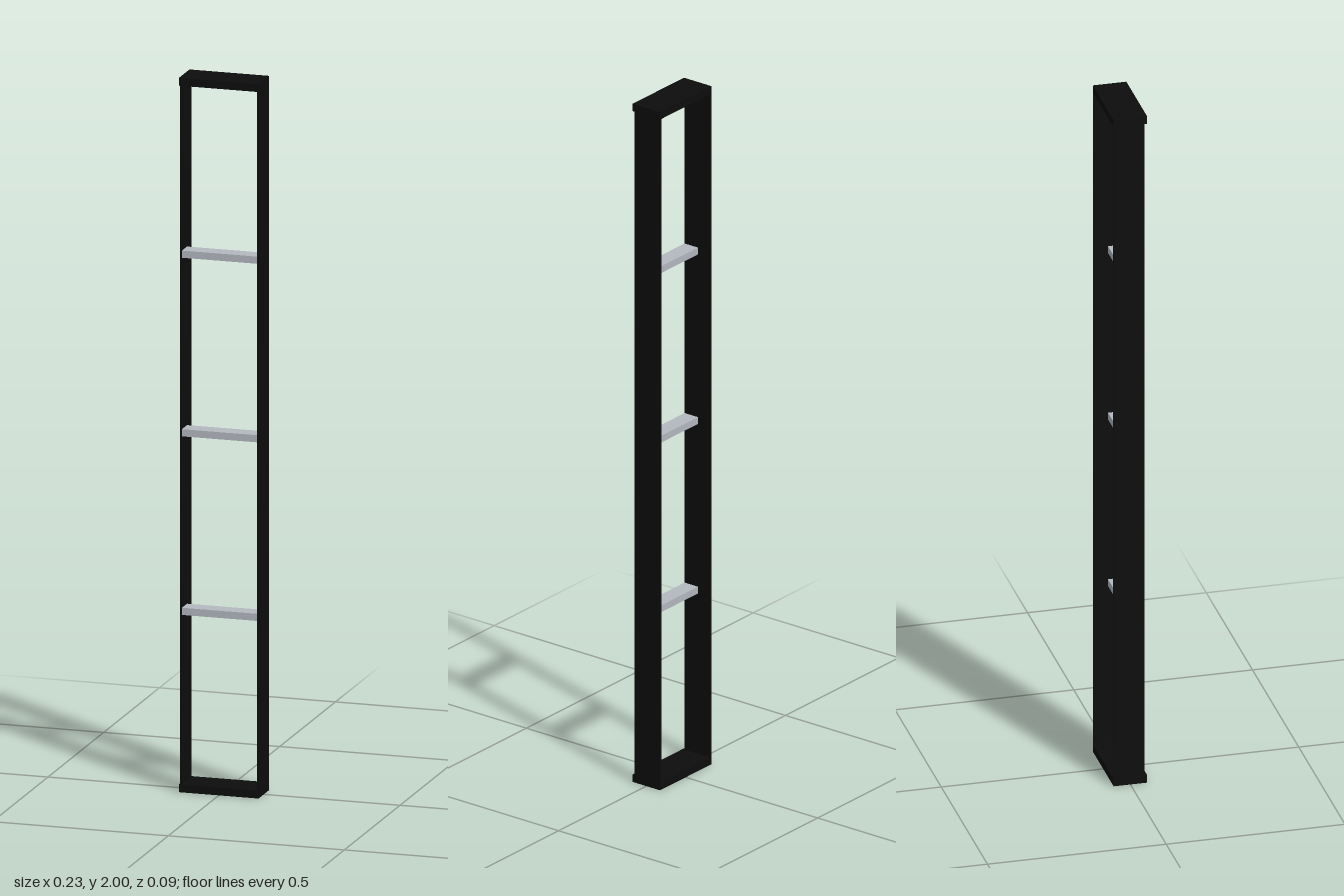
import * as THREE from 'three';

export function createModel() {
  const group = new THREE.Group();
  const black = new THREE.MeshStandardMaterial({ color: 0x0d0d0d });
  black.name = 'black';
  const silver = new THREE.MeshStandardMaterial({ color: 0xb4b8c0 });
  silver.name = 'silver';

  const halfWidth = 0.113, capHeight = 0.022, wall = 0.006;
  const back = -0.047, capFront = 0.047, panelFront = 0.04;

  // Box given by its extents along each axis
  function box(name, material, [x0, x1], [y0, y1], [z0, z1]) {
    const mesh = new THREE.Mesh(new THREE.BoxGeometry(x1 - x0, y1 - y0, z1 - z0), material);
    mesh.position.set((x0 + x1) / 2, (y0 + y1) / 2, (z0 + z1) / 2);
    mesh.name = name;
    group.add(mesh);
  }

  // Top and bottom caps, standing slightly proud at the front
  box('bottomCap', black, [-halfWidth, halfWidth], [0, capHeight], [back, capFront]);
  box('topCap', black, [-halfWidth, halfWidth], [2 - capHeight, 2], [back, capFront]);

  // Thin upright side panels
  const height = [capHeight, 2 - capHeight];
  box('leftPanel', black, [halfWidth - wall, halfWidth], height, [back, panelFront]);
  box('rightPanel', black, [-halfWidth, -halfWidth + wall], height, [back, panelFront]);

  // Three crossbars set toward the front
  const inner = halfWidth - wall;
  for (const y of [0.505, 1.005, 1.505]) {
    box('crossbar', silver, [-inner, inner], [y - 0.01, y + 0.01], [-0.006, panelFront]);
  }
  return group;
}
